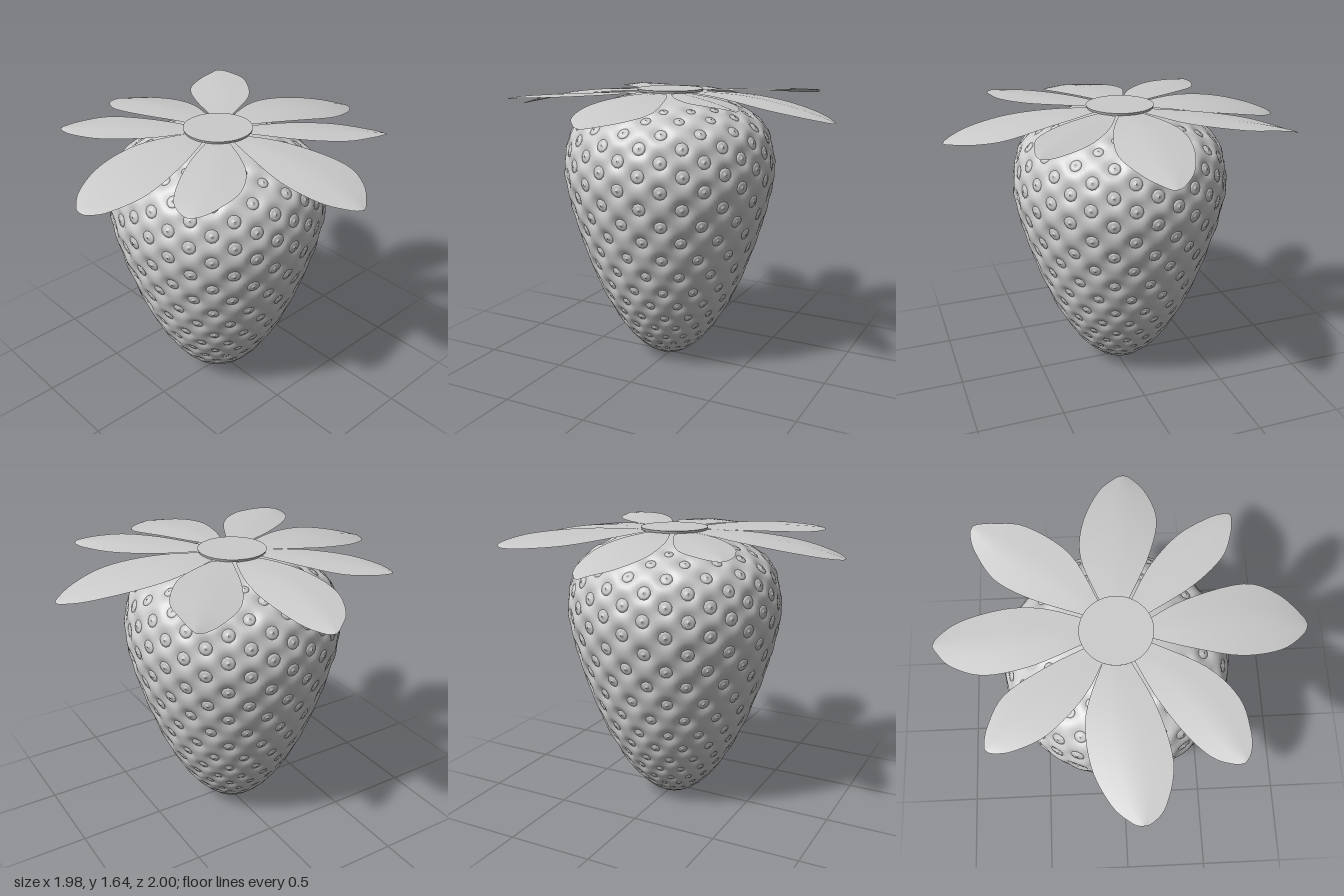
import * as THREE from 'three';
import { mergeGeometries, mergeVertices } from 'three/addons/utils/BufferGeometryUtils.js';

const grey = new THREE.MeshStandardMaterial({ color: 0xcccccc });
const leafGrey = new THREE.MeshStandardMaterial({ color: 0xcccccc, side: THREE.DoubleSide });
const CX = -0.025, CZ = 0.018, PER_ROW = 16;

// Fruit outline over the ridges, radius and height, from tip to crown
const profile = new THREE.SplineCurve([
  [0, 0], [0.1, 0.022], [0.19, 0.09], [0.285, 0.2], [0.4, 0.4], [0.483, 0.6], [0.55, 0.8],
  [0.604, 1.0], [0.632, 1.21], [0.588, 1.4], [0.485, 1.505], [0.33, 1.58], [0.16, 1.61], [0, 1.618],
].map(([r, y]) => new THREE.Vector2(r, y))).getSpacedPoints(180);
profile[0].x = profile[180].x = 0;

// Outward normal of the outline at point i
function outlineNormal(i) {
  const a = profile[Math.max(i - 1, 0)], b = profile[Math.min(i + 1, 180)];
  if (i === 0 || i === 180) return new THREE.Vector2(0, i ? 1 : -1);
  return new THREE.Vector2(b.y - a.y, a.x - b.x).normalize();
}

// Staggered rows of seeds, smaller towards the tip
const rows = [1.56, 1.52, 1.455, 1.386, 1.31, 1.23, 1.14, 1.045, 0.945, 0.842, 0.733, 0.632, 0.525,
  0.43, 0.34, 0.26, 0.185, 0.125, 0.072, 0.034, 0.012].map((y, k) => {
  let i = 0;
  profile.forEach((p, n) => { if (Math.abs(p.y - y) < Math.abs(profile[i].y - y)) i = n; });
  return { i, size: 0.038 * (0.16 + 0.84 * profile[i].x / 0.63), shift: k % 2 ? 0.5 : 0 };
});
const STEP = Math.PI * 2 / PER_ROW;
const ARC = profile[90].distanceTo(profile[91]);

// Lathed body with a soft pit pressed in around every seed
function makeBody() {
  const geo = new THREE.LatheGeometry(profile, 192);
  const pos = geo.attributes.position;
  for (let v = 0; v < pos.count; v++) {
    const i = v % profile.length, seg = Math.floor(v / profile.length);
    const phi = (seg % 192) / 192 * Math.PI * 2;
    const p = profile[i], n = outlineNormal(i);
    let depth = 0;
    for (const row of rows) {
      const ds = (i - row.i) * ARC;
      if (Math.abs(ds) > 0.2) continue;
      const t = phi / STEP - row.shift;
      const dx = (t - Math.round(t)) * STEP * p.x;
      const R = row.size * 1.45;
      depth += 0.8 * row.size * Math.exp(-(dx * dx + ds * ds) / (R * R));
    }
    const r = p.x === 0 ? 0 : Math.max(p.x - n.x * depth, 0);
    pos.setXYZ(v, r * Math.sin(phi), p.y - n.y * depth, r * Math.cos(phi));
  }
  geo.deleteAttribute('uv');
  geo.deleteAttribute('normal');
  const merged = mergeVertices(geo, 1e-5);
  merged.computeVertexNormals();
  return merged;
}

// Flat pips with a small pointed centre, one in each pit
function makeSeeds() {
  const pip = new THREE.LatheGeometry([[0.95, -0.4], [1, 0.06], [0.6, 0.12], [0.28, 0.14], [0, 0.4]]
    .map(([x, y]) => new THREE.Vector2(x, y)), 10);
  const up = new THREE.Vector3(0, 1, 0), list = [];
  for (const row of rows) {
    const n = outlineNormal(row.i), p = profile[row.i], sink = 0.58 * row.size;
    for (let k = 0; k < PER_ROW; k++) {
      const a = (k + row.shift) * STEP, s = Math.sin(a), c = Math.cos(a);
      const dir = new THREE.Vector3(n.x * s, n.y, n.x * c);
      const at = new THREE.Vector3(p.x * s, p.y, p.x * c).addScaledVector(dir, -sink);
      const turn = new THREE.Quaternion().setFromUnitVectors(up, dir);
      const scale = new THREE.Vector3(row.size, row.size, row.size);
      list.push(pip.clone().applyMatrix4(new THREE.Matrix4().compose(at, turn, scale)));
    }
  }
  return mergeGeometries(list);
}

// Thin leaf spanned between its left and right edge (x, z), drooping outwards;
// a positive tilt lifts its left edge
function makeLeaf({ left, right, tip, drop, tilt = 0 }) {
  const edge = (pts) => new THREE.SplineCurve([...pts, tip].map(([x, z]) => new THREE.Vector2(x, z))).getPoints(25);
  const L = edge(left), R = edge(right), W = 6, pos = [], index = [];
  for (let i = 0; i <= 25; i++) {
    for (let j = 0; j <= W; j++) {
      const p = L[i].clone().lerp(R[i], j / W);
      const d = Math.max(p.length() - 0.2, 0) / 0.8;
      const swell = Math.sin(Math.PI * i / 25);
      const ridge = 0.01 * (1 - Math.abs(2 * j / W - 1)) * swell;
      pos.push(p.x, 1.625 + ridge + tilt * (0.5 - j / W) * swell - drop * d * d, p.y);
      if (i < 25 && j < W) {
        const a = i * (W + 1) + j, b = a + W + 1;
        index.push(a, a + 1, b, a + 1, b + 1, b);
      }
    }
  }
  const geo = new THREE.BufferGeometry();
  geo.setAttribute('position', new THREE.Float32BufferAttribute(pos, 3));
  geo.setIndex(index);
  geo.computeVertexNormals();
  return geo;
}

const leaves = {
  backLeaf: { drop: 0.12, tip: [0.06, -1],
    left: [[-0.1, -0.15], [-0.195, -0.42], [-0.18, -0.65], [-0.09, -0.87], [0.01, -0.98]],
    right: [[0.04, -0.15], [0.16, -0.4], [0.225, -0.65], [0.18, -0.85], [0.1, -0.975]] },
  frontLeaf: { drop: 0.11, tip: [0.06, 0.995],
    left: [[0.04, 0.18], [0.16, 0.43], [0.225, 0.7], [0.18, 0.9], [0.11, 0.98]],
    right: [[-0.1, 0.18], [-0.195, 0.45], [-0.18, 0.7], [-0.09, 0.89], [0.01, 0.98]] },
  leftLeaf: { drop: 0.1, tip: [0.985, -0.02],
    left: [[0.15, -0.05], [0.34, -0.15], [0.66, -0.245], [0.84, -0.19], [0.96, -0.07]],
    right: [[0.15, 0.06], [0.35, 0.12], [0.6, 0.165], [0.82, 0.13], [0.95, 0.04]] },
  rightLeaf: { drop: 0.12, tilt: 0.03, tip: [-0.99, 0],
    left: [[-0.2, 0.08], [-0.45, 0.18], [-0.7, 0.21], [-0.88, 0.14], [-0.97, 0.04]],
    right: [[-0.2, -0.07], [-0.4, -0.14], [-0.6, -0.16], [-0.84, -0.12], [-0.96, -0.05]] },
  backLeftLeaf: { drop: 0.02, tilt: -0.02, tip: [0.622, -0.655],
    left: [[0.06, -0.16], [0.17, -0.36], [0.33, -0.54], [0.5, -0.64], [0.59, -0.665]],
    right: [[0.13, -0.07], [0.38, -0.22], [0.55, -0.38], [0.61, -0.52], [0.627, -0.62]] },
  backRightLeaf: { drop: 0.035, tilt: -0.035, tip: [-0.78, -0.65],
    left: [[-0.18, -0.08], [-0.45, -0.19], [-0.65, -0.32], [-0.76, -0.5], [-0.79, -0.61]],
    right: [[-0.11, -0.16], [-0.25, -0.44], [-0.48, -0.62], [-0.65, -0.655], [-0.75, -0.66]] },
  frontRightLeaf: { drop: 0.04, tip: [-0.685, 0.61],
    left: [[-0.1, 0.18], [-0.2, 0.36], [-0.38, 0.54], [-0.55, 0.615], [-0.65, 0.622]],
    right: [[-0.19, 0.1], [-0.4, 0.2], [-0.6, 0.33], [-0.68, 0.48], [-0.698, 0.58]] },
  frontLeftLeaf: { drop: 0.03, tilt: 0.02, tip: [0.575, 0.725],
    left: [[0.14, 0.08], [0.42, 0.23], [0.57, 0.4], [0.61, 0.57], [0.605, 0.67]],
    right: [[0.06, 0.18], [0.16, 0.38], [0.29, 0.57], [0.41, 0.69], [0.52, 0.73]] },
};

export function createModel() {
  const model = new THREE.Group();
  model.name = 'strawberry';
  const add = (name, geo, mat, x = 0, y = 0, z = 0) => {
    const mesh = new THREE.Mesh(geo, mat);
    mesh.name = name;
    mesh.position.set(x, y, z);
    model.add(mesh);
  };
  add('fruitBody', makeBody(), grey, CX, 0, CZ);
  add('seeds', makeSeeds(), grey, CX, 0, CZ);
  // Leafy crown and its round centre
  for (const [name, leaf] of Object.entries(leaves)) add(name, makeLeaf(leaf), leafGrey);
  add('crownDisc', new THREE.CylinderGeometry(0.193, 0.188, 0.014, 48), grey, CX, 1.634, 0.015);
  return model;
}
